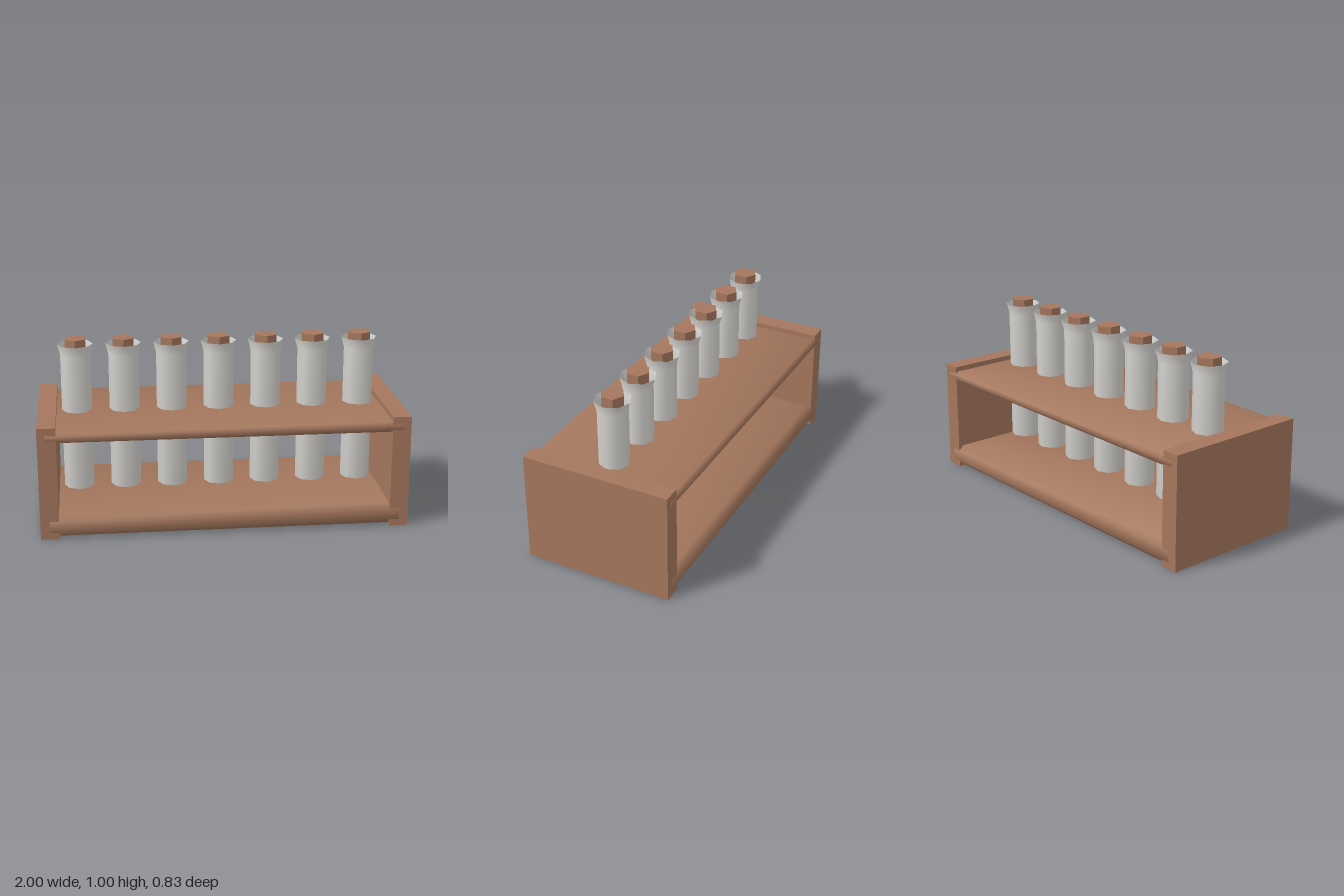
import * as THREE from 'three';
import { toCreasedNormals } from 'three/addons/utils/BufferGeometryUtils.js';

const wood = new THREE.MeshStandardMaterial({ color: 0xa5775d });
wood.name = 'brown wood';
const glass = new THREE.MeshStandardMaterial({ color: 0xd6d4d0, side: THREE.DoubleSide });
glass.name = 'pale grey glass';

function add(parent, name, geometry, material, x = 0, y = 0, z = 0) {
  const mesh = new THREE.Mesh(geometry, material);
  mesh.name = name;
  mesh.position.set(x, y, z);
  parent.add(mesh);
  return mesh;
}

// Long board with softened front and back edges, running along x
function board(length, height, depth, bevel) {
  const h = height / 2, d = depth / 2;
  const profile = new THREE.Shape([
    [-d + bevel, -h], [d - bevel, -h], [d, -h + bevel], [d, h - bevel],
    [d - bevel, h], [-d + bevel, h], [-d, h - bevel], [-d, -h + bevel],
  ].map(([x, y]) => new THREE.Vector2(x, y)));
  const geometry = new THREE.ExtrudeGeometry(profile, { depth: length, bevelEnabled: false });
  geometry.translate(0, 0, -length / 2).rotateY(Math.PI / 2);
  return toCreasedNormals(geometry, 1);
}

export function createModel() {
  const model = new THREE.Group();
  model.name = 'testTubeRack';

  // End panels
  for (const side of [1, -1]) {
    add(model, side > 0 ? 'leftPanel' : 'rightPanel',
      new THREE.BoxGeometry(0.1, 0.625, 0.832), wood, side * 0.95, 0.3125, 0);
  }

  // Shelves, let into the end panels
  add(model, 'baseBoard', board(1.9, 0.12, 0.835, 0.03), wood, 0, 0.068, 0);
  add(model, 'upperShelf', board(1.92, 0.058, 0.835, 0.016), wood, 0, 0.568, 0);

  // Flared tubes with hexagonal stoppers
  const tubeProfile = [[0, 0.13], [0.083, 0.155], [0.083, 0.91], [0.098, 0.97]]
    .map(([r, y]) => new THREE.Vector2(r, y));
  const tubeGeometry = new THREE.LatheGeometry(tubeProfile, 8);
  const stopperGeometry = toCreasedNormals(new THREE.CylinderGeometry(0.065, 0.065, 0.14, 6), 0.5);
  for (let i = -3; i <= 3; i++) {
    const unit = new THREE.Group();
    unit.name = 'stopperedTube';
    unit.position.x = i * 0.262;
    add(unit, 'tube', tubeGeometry, glass);
    add(unit, 'stopper', stopperGeometry, wood, 0, 0.93, 0);
    model.add(unit);
  }
  return model;
}
